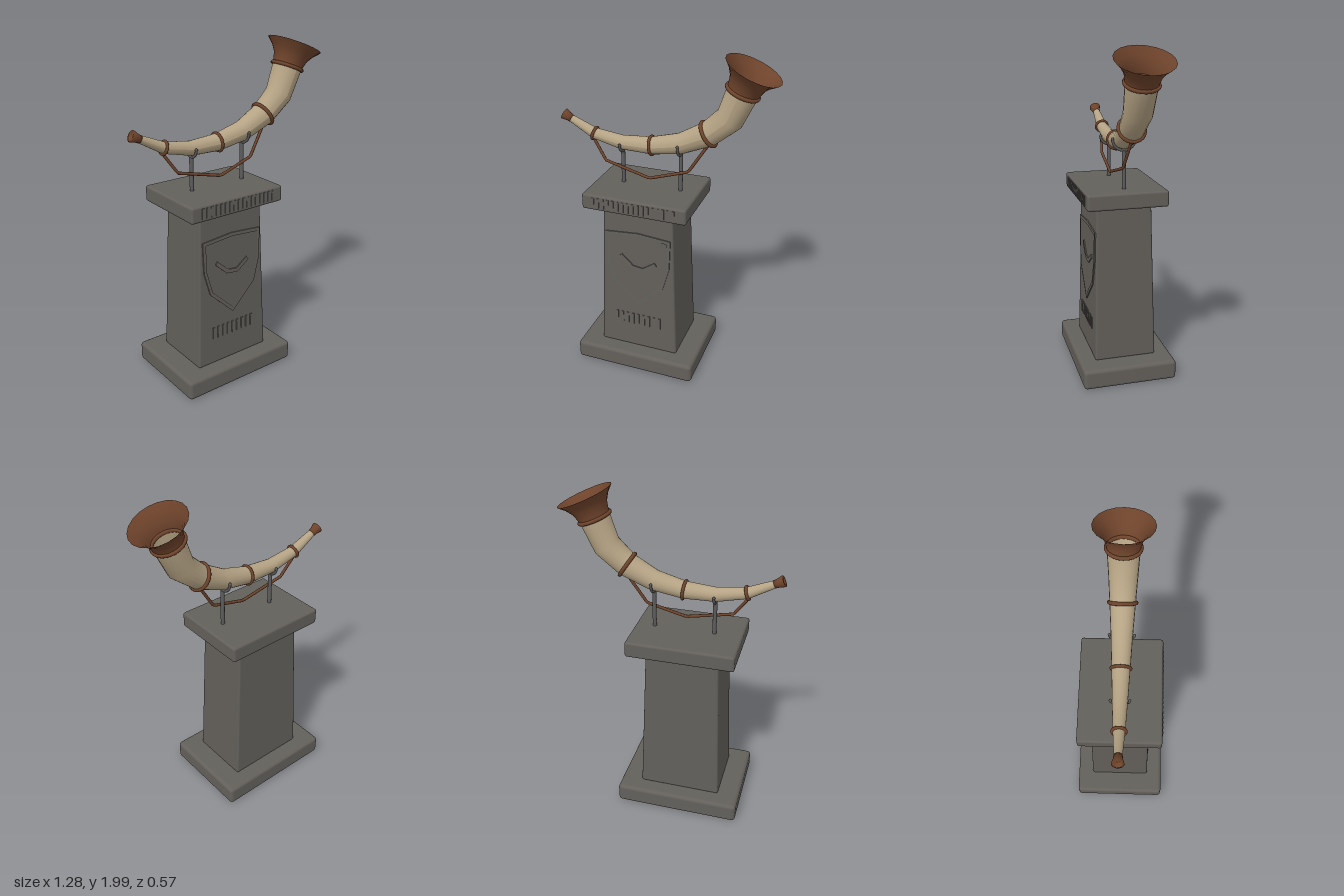
import * as THREE from 'three';
import { RoundedBoxGeometry } from 'three/addons/geometries/RoundedBoxGeometry.js';

const mat = (name, color, side = THREE.FrontSide) => {
  const m = new THREE.MeshStandardMaterial({ color, side });
  m.name = name;
  return m;
};

export function createModel() {
  const root = new THREE.Group();
  root.name = 'hornOnPedestal';
  const stone = mat('stone', 0x63605b);
  const ivory = mat('ivory', 0xb5a384, THREE.DoubleSide);
  const leather = mat('leather', 0x6e432b, THREE.DoubleSide);
  const iron = mat('iron', 0x5c5c5c);

  const add = (name, geo, material, parent = root) => {
    const m = new THREE.Mesh(geo, material);
    m.name = name;
    parent.add(m);
    return m;
  };
  // Moves a mesh to a point and turns its y axis along (dx, dy)
  const place = (m, x, y, dx, dy) => {
    m.position.set(x, y, 0);
    m.rotation.z = Math.atan2(-dx, dy);
  };

  // Pedestal: base, tapered column, cap
  const CX = -0.105;
  add('base', new RoundedBoxGeometry(0.76, 0.12, 0.57, 3, 0.022), stone).position.set(CX, 0.064, 0);
  add('cap', new RoundedBoxGeometry(0.635, 0.096, 0.48, 3, 0.014), stone).position.set(CX, 1.128, 0);
  const column = new RoundedBoxGeometry(0.5, 0.965, 0.376, 3, 0.013);
  const cp = column.attributes.position;
  for (let i = 0; i < cp.count; i++) {
    const t = cp.getY(i) / 0.965 + 0.5;
    cp.setX(i, cp.getX(i) * (1 - 0.14 * t));
    cp.setZ(i, cp.getZ(i) * (1 - 0.122 * t));
  }
  add('column', column, stone).position.set(CX, 0.6025, 0);

  // Raised decoration lying on the sloping front of the column
  const front = new THREE.Group();
  front.name = 'frontRelief';
  front.position.set(CX, 0.12, 0.188);
  front.rotation.x = -Math.atan(0.023 / 0.965);
  root.add(front);

  const outline = [[0, 0.817], [0.205, 0.8], [0.2, 0.61], [0.16, 0.465], [0, 0.31],
    [-0.16, 0.465], [-0.2, 0.61], [-0.205, 0.8]].map(([x, y]) => new THREE.Vector2(x, y));
  const shield = new THREE.Shape(outline);
  const mid = new THREE.Vector2(0, 0.6);
  shield.holes.push(new THREE.Path(outline.map(p => p.clone().sub(mid).multiplyScalar(0.9).add(mid))));
  add('shieldFrame', new THREE.ExtrudeGeometry(shield, { depth: 0.007, bevelEnabled: false }), stone, front);

  const chevron = [[-0.108, 0.65], [-0.035, 0.582], [0.035, 0.572], [0.11, 0.625]];
  for (let i = 0; i < 3; i++) {
    const [x0, y0] = chevron[i], [x1, y1] = chevron[i + 1];
    const bar = add('chevronBar', new THREE.BoxGeometry(Math.hypot(x1 - x0, y1 - y0) + 0.008, 0.024, 0.014), stone, front);
    bar.position.set((x0 + x1) / 2, (y0 + y1) / 2, 0);
    bar.rotation.z = Math.atan2(y1 - y0, x1 - x0);
  }

  // Plain rows of upright ribs on the column and the cap
  const ribs = (name, parent, count, width, height, y, z) => {
    for (let i = 0; i < count; i++) {
      add(name, new THREE.BoxGeometry(0.013, height, 0.012), stone, parent)
        .position.set((i / (count - 1) - 0.5) * width, y, z);
    }
  };
  ribs('columnRib', front, 9, 0.28, 0.075, 0.205, 0);
  const frieze = new THREE.Group();
  frieze.name = 'capFrieze';
  frieze.position.set(CX, 0, 0);
  root.add(frieze);
  ribs('capRib', frieze, 17, 0.49, 0.062, 1.13, 0.238);

  // Horn: an open tube through sections [x, y, radius], from bell to tip
  const sections = [[0.437, 1.805, 0.088], [0.373, 1.648, 0.08], [0.257, 1.545, 0.071], [0.1, 1.468, 0.06],
    [-0.077, 1.43, 0.051], [-0.26, 1.425, 0.042], [-0.435, 1.458, 0.033], [-0.59, 1.535, 0.021]];
  const last = sections.length - 1;
  const tangent = i => {
    const a = sections[Math.min(i + 1, last)], b = sections[Math.max(i - 1, 0)];
    return new THREE.Vector2(b[0] - a[0], b[1] - a[1]).normalize();
  };
  const horn = new THREE.CylinderGeometry(1, 1, 1, 20, last, true);
  const hp = horn.attributes.position;
  for (let i = 0; i < hp.count; i++) {
    const k = Math.round((0.5 - hp.getY(i)) * last);
    const [x, y, r] = sections[k];
    const t = tangent(k), u = hp.getX(i) * r;
    hp.setXYZ(i, x + t.y * u, y - t.x * u, hp.getZ(i) * r);
  }
  horn.computeVertexNormals();
  add('horn', horn, ivory);

  // Flared bell
  const bell = new THREE.LatheGeometry([[0.089, -0.005], [0.092, 0.025], [0.103, 0.065], [0.127, 0.102], [0.163, 0.138]]
    .map(([r, y]) => new THREE.Vector2(r, y)), 20);
  place(add('bell', bell, leather), 0.435, 1.8, 0.4, 0.917);

  // Mouthpiece
  const mouth = new THREE.LatheGeometry([[0, 0], [0.023, 0], [0.025, 0.022], [0.034, 0.055], [0.02, 0.057], [0, 0.045]]
    .map(([r, y]) => new THREE.Vector2(r, y)), 14);
  place(add('mouthpiece', mouth, leather), -0.578, 1.529, -0.89, 0.45);

  // Bands around the horn: [section, radius, tube]
  for (const [k, r, tube] of [[0, 0.091, 0.011], [2, 0.074, 0.011], [4, 0.053, 0.009], [6, 0.036, 0.009]]) {
    const t = tangent(k);
    const ring = new THREE.TorusGeometry(r, tube, 8, 24).rotateX(Math.PI / 2);
    place(add('band', ring, leather), sections[k][0], sections[k][1], t.x, t.y);
  }

  // Hanging strap with straight runs
  const strap = new THREE.CurvePath();
  const pts = [[-0.442, 1.425, 0], [-0.36, 1.305, 0.02], [-0.08, 1.24, 0.037], [0.15, 1.308, 0.02], [0.262, 1.485, 0]]
    .map(p => new THREE.Vector3(...p));
  for (let i = 0; i < 4; i++) strap.add(new THREE.LineCurve3(pts[i], pts[i + 1]));
  add('strap', new THREE.TubeGeometry(strap, 48, 0.009, 8), leather);

  // Iron posts with cradles under the horn
  for (const [x, y, r] of [[-0.257, 1.425, 0.051], [0.1, 1.468, 0.068]]) {
    const h = y - r - 1.17;
    add('post', new THREE.CylinderGeometry(0.012, 0.012, h, 12), iron).position.set(x, 1.17 + h / 2, 0);
    const arc = new THREE.TorusGeometry(r, 0.008, 8, 16, Math.PI).rotateZ(Math.PI).rotateY(Math.PI / 2);
    add('cradle', arc, iron).position.set(x, y, 0);
    for (const s of [-1, 1]) {
      add('cradleTip', new THREE.SphereGeometry(0.009, 8, 6), iron).position.set(x, y, s * r);
    }
  }
  return root;
}
